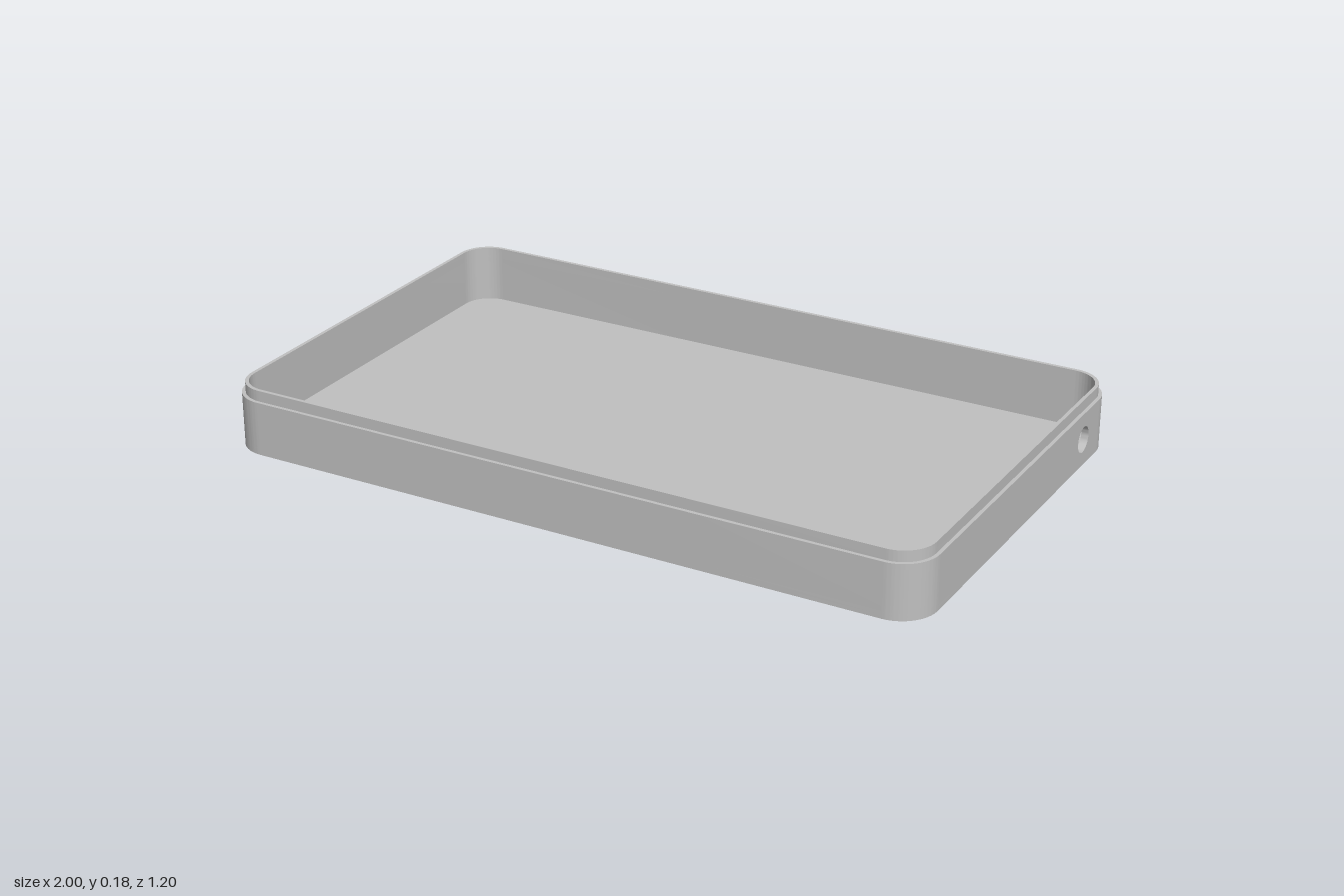
import * as THREE from 'three';
import { toCreasedNormals } from 'three/addons/utils/BufferGeometryUtils.js';

const CX = 0.9, CZ = 0.5;            // corner arc centres
const R_OUT = 0.1, R_LIP = 0.09, R_IN = 0.08;
const FLOOR = 0.02, RECESS = 0.01, RIM = 0.15, TOP = 0.18;
const CORNERS = [[1, 1], [-1, 1], [-1, -1], [1, -1]];

// Rounded rectangle outline that starts and ends on the +x side
function traceCorners(path, r, reverse = false) {
  const order = reverse ? [3, 2, 1, 0] : [0, 1, 2, 3];
  for (const i of order) {
    const [sx, sz] = CORNERS[i];
    const a = i * Math.PI / 2, b = a + Math.PI / 2;
    path.absarc(sx * CX, sz * CZ, r, reverse ? b : a, reverse ? a : b, reverse);
  }
  return path;
}

function rectPath(x, y, w, h) {
  return new THREE.Path([
    new THREE.Vector2(x - w / 2, y - h / 2), new THREE.Vector2(x - w / 2, y + h / 2),
    new THREE.Vector2(x + w / 2, y + h / 2), new THREE.Vector2(x + w / 2, y - h / 2),
  ]);
}

function extrude(shape, depth) {
  return new THREE.ExtrudeGeometry(shape, { depth, bevelEnabled: false, curveSegments: 20 });
}

export function createModel() {
  const group = new THREE.Group();
  const grey = new THREE.MeshStandardMaterial({ color: 0xc0c0c0 });
  grey.name = 'light grey';

  function add(name, geometry) {
    const mesh = new THREE.Mesh(toCreasedNormals(geometry, 0.5), grey);
    mesh.name = name;
    group.add(mesh);
  }
  // Plan outline raised from y0 to y1
  function addLayer(name, shape, y0, y1) {
    add(name, extrude(shape, y1 - y0).rotateX(-Math.PI / 2).translate(0, y0, 0));
  }

  // Underside with four square recesses for feet
  const underside = traceCorners(new THREE.Shape(), R_OUT);
  for (const [sx, sz] of CORNERS) underside.holes.push(rectPath(sx * 0.85, sz * 0.45, 0.1, 0.1));
  addLayer('underside', underside, 0, RECESS);

  // Floor plate closing the recesses
  addLayer('floor', traceCorners(new THREE.Shape(), R_OUT), RECESS, FLOOR);

  // Wall around three sides and all corners, open along +x
  const wall = traceCorners(new THREE.Shape(), R_OUT);
  traceCorners(wall, R_IN, true);
  wall.closePath();
  addLayer('wall', wall, FLOOR, RIM);

  // Straight +x wall with the round cable hole
  const panel = new THREE.Shape([
    new THREE.Vector2(-CZ, FLOOR), new THREE.Vector2(CZ, FLOOR),
    new THREE.Vector2(CZ, RIM), new THREE.Vector2(-CZ, RIM),
  ]);
  panel.holes.push(new THREE.Path().absarc(0.4, 0.075, 0.036, 0, Math.PI * 2, true));
  add('cableHoleWall', extrude(panel, R_OUT - R_IN).rotateY(Math.PI / 2).translate(CX + R_IN, 0, 0));

  // Thin stepped lip on top of the wall
  const lip = traceCorners(new THREE.Shape(), R_LIP);
  lip.holes.push(traceCorners(new THREE.Path(), R_IN));
  addLayer('lip', lip, RIM, TOP);

  return group;
}
